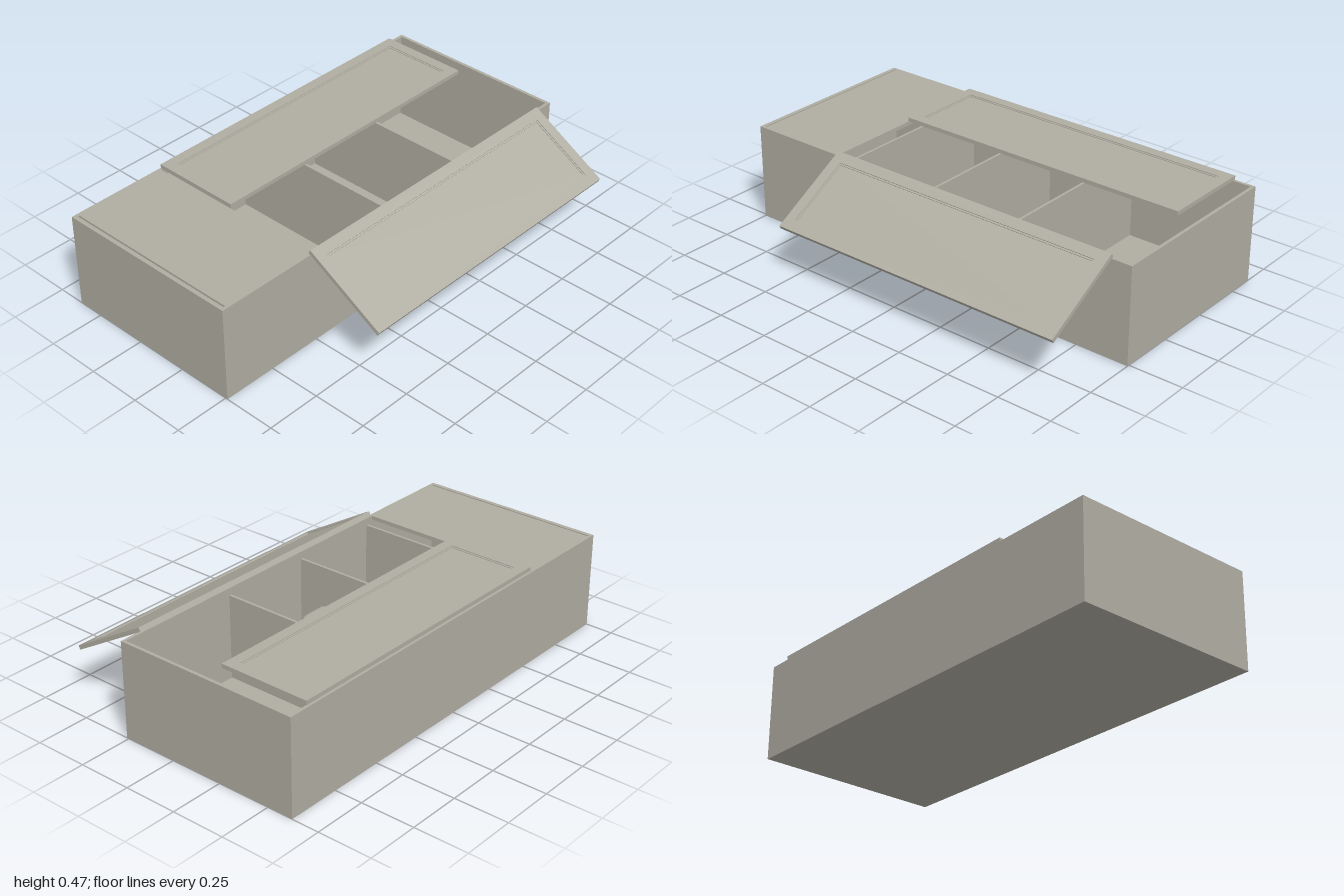
import * as THREE from 'three';

const paint = new THREE.MeshStandardMaterial({ color: 0xb0ada2 });
paint.name = 'warm grey paint';

// Box given by its lower and upper corners
function board(name, x0, x1, y0, y1, z0, z1) {
  const mesh = new THREE.Mesh(new THREE.BoxGeometry(x1 - x0, y1 - y0, z1 - z0), paint);
  mesh.position.set((x0 + x1) / 2, (y0 + y1) / 2, (z0 + z1) / 2);
  mesh.name = name;
  return mesh;
}

// Rectangular ring lying flat in XZ, centred on its own thickness
function ring(name, w, l, border, t) {
  const rect = (P, a, b) => new P([[-a, -b], [a, -b], [a, b], [-a, b]].map(p => new THREE.Vector2(...p)));
  const shape = rect(THREE.Shape, w / 2, l / 2);
  shape.holes.push(rect(THREE.Path, w / 2 - border, l / 2 - border));
  const geo = new THREE.ExtrudeGeometry(shape, { depth: t, bevelEnabled: false });
  geo.translate(0, 0, -t / 2).rotateX(-Math.PI / 2);
  const mesh = new THREE.Mesh(geo, paint);
  mesh.name = name;
  return mesh;
}

// Framed door with a thin panel recessed on both sides
function door(name) {
  const w = 0.424, l = 1.43, m = 0.049, g = new THREE.Group();
  g.name = name;
  g.add(ring('doorFrame', w, l, m, 0.019));
  g.add(ring('doorMoulding', w - 2 * m, l - 2 * m, 0.008, 0.012));
  g.add(board('doorPanel', -w / 2 + m, w / 2 - m, -0.003, 0.003, -l / 2 + m, l / 2 - m));
  return g;
}

// Bottle whose base rests on the middle shelf, neck towards -z
function bottle(x) {
  const body = [[0, 0], [0.034, 0], [0.037, 0.004], [0.037, 0.105], [0.034, 0.115]];
  const neck = [[0.021, 0.133], [0.018, 0.14], [0.018, 0.163], [0.016, 0.165], [0, 0.165]];
  const points = [...body, ...neck].map(p => new THREE.Vector2(...p));
  const mesh = new THREE.Mesh(new THREE.LatheGeometry(points, 24), paint);
  mesh.rotation.x = -Math.PI / 2;
  mesh.position.set(x, 0.2, 0.031);
  mesh.name = 'bottle';
  return mesh;
}

export function createModel() {
  const model = new THREE.Group();
  model.name = 'cabinet';
  const H = 0.443, L = -0.622, R = 0.26, T = 0.014;

  // Carcass lying on its back
  model.add(board('backPanel', L, R, 0, 0.02, -1, 1));
  model.add(board('rightSide', L, L + T, 0.02, H, -1, 1));
  model.add(board('leftSide', R - T, R, 0.02, H, -1, 1));
  model.add(board('topEnd', L + T, R - T, 0.02, H, -1, -0.985));
  model.add(board('bottomEnd', L + T, R - T, 0.02, H, 0.981, 1));
  // Closed lower front, with a narrow groove before the end board
  model.add(board('lowerFront', L + T, R - T, H - 0.018, H, 0.53, 0.973));

  // Shelves
  for (const z of [-0.395, 0.052, 0.498]) {
    model.add(board('shelf', L + T, R - T, 0.02, 0.41, z - 0.006, z + 0.006));
  }

  for (const x of [-0.075, 0.095]) model.add(bottle(x));

  // One door shut, the other swung wide open
  const shut = door('closedDoor');
  shut.position.set(-0.403, 0.457, -0.19);
  const open = door('openDoor');
  open.position.set(0.437, 0.35, -0.19);
  open.rotation.z = -Math.PI / 6;
  model.add(shut, open);
  return model;
}
